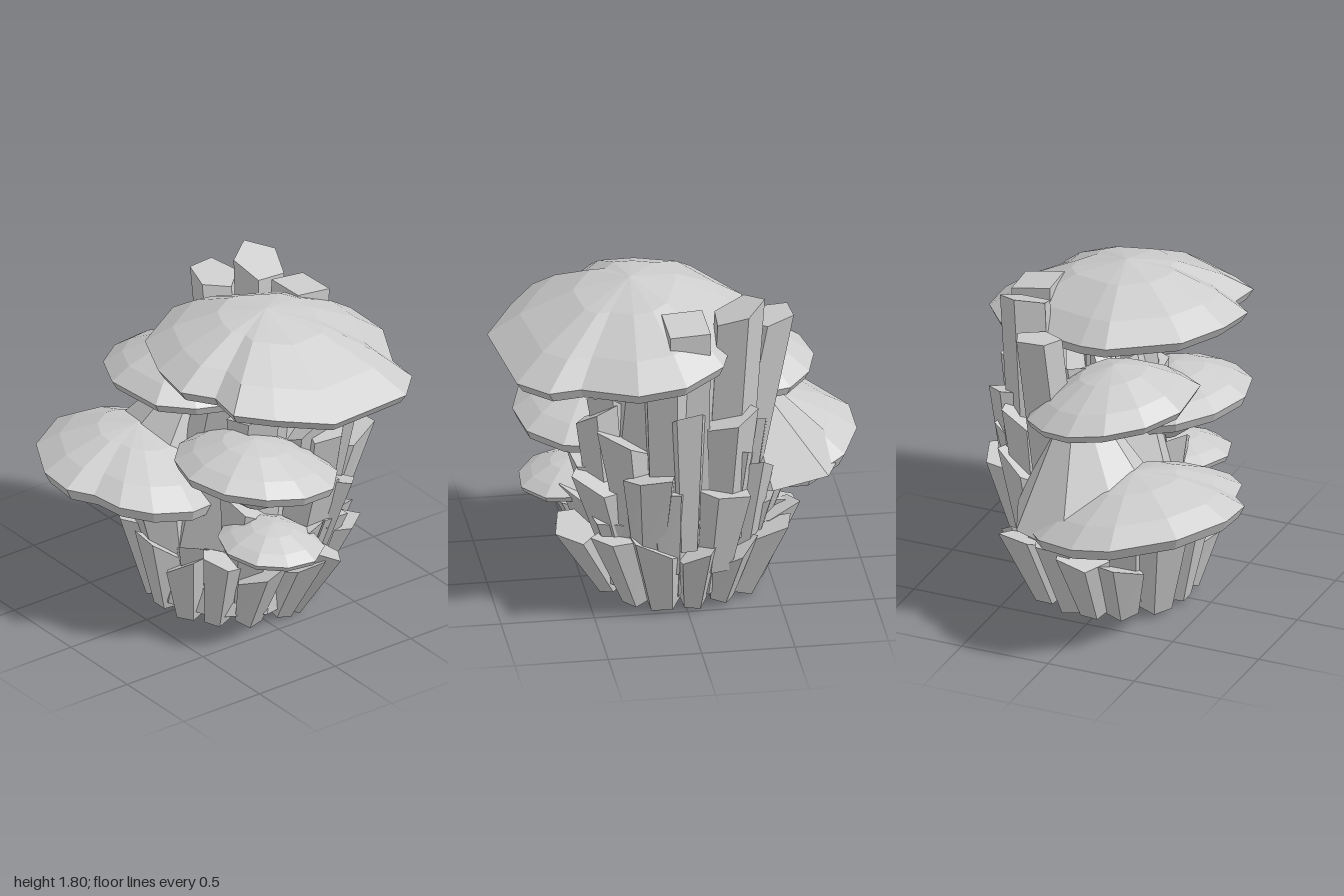
import * as THREE from 'three';

const material = new THREE.MeshStandardMaterial({ color: 0xcccccc, flatShading: true });

// Small seeded generator
let seed = 11;
const rnd = (a, b) => {
  seed = (seed * 16807) % 2147483647;
  return a + (b - a) * (seed / 2147483647);
};

function add(parent, name, geometry) {
  const mesh = new THREE.Mesh(geometry, material);
  mesh.name = name;
  parent.add(mesh);
  return mesh;
}

// Tapered prism from one point to another, cut off at a slant that is highest towards angle "high"
function shard(parent, name, from, to, rBottom, rTop, { sides = 5, slant = 0.14, high = rnd(0, 6.28), spin = rnd(0, 6.28) } = {}) {
  const a = new THREE.Vector3(...from), b = new THREE.Vector3(...to);
  const len = a.distanceTo(b);
  const g = new THREE.CylinderGeometry(rTop, rBottom, len, sides, 1);
  g.rotateY(spin);
  const p = g.attributes.position;
  for (let i = 0; i < p.count; i++) {
    if (p.getY(i) <= 0) continue;
    const d = (p.getX(i) * Math.cos(high) + p.getZ(i) * Math.sin(high)) / rTop;
    p.setY(i, len / 2 - slant * (0.5 - 0.5 * d));
  }
  const m = add(parent, name, g);
  m.position.copy(a).add(b).multiplyScalar(0.5);
  m.quaternion.setFromUnitVectors(new THREE.Vector3(0, 1, 0), b.sub(a).normalize());
}

// Oval rim, running from the front towards +x
function ovalRim(cx, cz, rx, rz, n) {
  return Array.from({ length: n }, (_, i) => {
    const t = (i / n) * Math.PI * 2;
    const w = 1 + 0.03 * Math.sin(3 * t + 1);
    return [cx + rx * w * Math.sin(t), cz + rz * w * Math.cos(t)];
  });
}

// Faceted shelf cap: rings shrink from an irregular rim towards the crown above and the root below.
// crown and root are [x, z]; y is the rim height at the crown.
function cap(parent, name, { rim, y, crown, root, top, bottom, tilt }) {
  const profile = [[0, -1], [0.14, -1], [0.5, -0.55], [0.95, -0.16], [1, 0.08], [0.77, 0.43], [0.4, 0.82], [0, 1]];
  const g = new THREE.LatheGeometry(profile.map(([r, h]) => new THREE.Vector2(r, h)), rim.length);
  const p = g.attributes.position;
  for (let i = 0; i < p.count; i++) {
    const [r, h] = profile[i % profile.length];
    const [ex, ez] = rim[Math.floor(i / profile.length) % rim.length];
    const [ox, oz] = h > 0 ? crown : root;
    const x = ox + (ex - ox) * r, z = oz + (ez - oz) * r;
    p.setXYZ(i, x, y + h * (h > 0 ? top : bottom) + r * ((ex - crown[0]) * tilt[0] + (ez - crown[1]) * tilt[1]), z);
  }
  add(parent, name, g);
}

export function createModel() {
  seed = 11;
  const model = new THREE.Group();

  // Hollow trunk core, leaning backwards as it rises
  const trunk = new THREE.Group();
  trunk.name = 'trunk';
  model.add(trunk);
  const core = new THREE.CylinderGeometry(0.32, 0.42, 1.3, 9, 2, true);
  const cp = core.attributes.position;
  for (let i = 0; i < cp.count; i++) {
    const h = cp.getY(i) + 0.65;
    cp.setXYZ(i, cp.getX(i) + 0.03, h + 0.06, cp.getZ(i) - 0.04 - 0.17 * h);
  }
  add(trunk, 'trunkCore', core);

  // Rings of splintered bark: foot and head radii, widened along x by "wide"
  const ring = (name, count, rFoot, yFoot, rHead, wide, yMin, yMax, zc, w, keep = () => true) => {
    for (let i = 0; i < count; i++) {
      const t = ((i + rnd(-0.25, 0.25)) / count) * Math.PI * 2;
      const c = Math.cos(t), s = Math.sin(t);
      const y = rnd(yMin, yMax), k = rnd(0.93, 1.06), width = w * rnd(0.85, 1.15);
      if (!keep(s)) continue;
      shard(trunk, name,
        [c * rFoot, yFoot, s * rFoot + zc],
        [c * rHead * k * wide + 0.01, y, s * rHead * k + zc - 0.03],
        width * 0.6, width, { slant: rnd(0.1, 0.26), high: t + rnd(-1.2, 1.2) });
    }
  };
  ring('baseSplinter', 15, 0.38, 0.02, 0.5, 1.15, 0.4, 0.52, -0.06, 0.14);
  ring('innerSplinter', 10, 0.34, 0.08, 0.43, 1.1, 0.5, 0.66, -0.07, 0.15);
  ring('middleSplinter', 10, 0.36, 0.25, 0.42, 1.12, 0.74, 0.92, -0.15, 0.15, s => s < 0.75);
  ring('upperSplinter', 9, 0.31, 0.4, 0.32, 1.2, 1.08, 1.3, -0.25, 0.14, s => s < 0.85);

  // Large single splinters
  const out = { high: -Math.PI / 2, slant: 0.2 };
  shard(trunk, 'backSplinter', [0.2, 0.4, -0.5], [0.22, 0.95, -0.67], 0.1, 0.15, out);
  shard(trunk, 'backSplinter', [-0.2, 0.4, -0.42], [-0.24, 1.0, -0.5], 0.1, 0.14, out);
  shard(trunk, 'backSplinter', [0.1, 0.5, -0.48], [0.12, 1.38, -0.55], 0.12, 0.14);
  shard(trunk, 'rightSplinter', [0.4, 0.5, -0.3], [0.47, 1.18, -0.34], 0.1, 0.12);
  shard(trunk, 'frontSplinter', [0.24, 0.6, 0.04], [0.28, 1.34, -0.04], 0.12, 0.11);

  // Tall spires standing up behind the caps
  shard(trunk, 'tallSpire', [-0.2, 0.4, -0.42], [-0.28, 1.79, -0.45], 0.13, 0.14, { slant: 0.13, high: Math.PI, spin: 0.9 });
  shard(trunk, 'leftSpire', [-0.28, 0.6, -0.27], [-0.48, 1.66, -0.3], 0.13, 0.13, { slant: 0.1, high: Math.PI, spin: 0.4 });
  shard(trunk, 'hiddenSpire', [0, 0.5, -0.46], [0.01, 1.71, -0.51], 0.14, 0.155, { sides: 4, slant: 0.04, high: 1.57, spin: 0.85 });

  // Shelf caps
  const caps = new THREE.Group();
  caps.name = 'caps';
  model.add(caps);
  cap(caps, 'topCap', {
    rim: [[0.13, 0.52], [0.37, 0.55], [0.5, 0.42], [0.69, 0.44], [0.83, 0.27], [1, 0], [0.92, -0.53], [0.77, -0.68],
      [0.6, -0.68], [0.31, -0.83], [0.05, -0.81], [-0.17, -0.65], [-0.36, -0.1], [-0.37, 0.05], [-0.15, 0.4]],
    y: 1.48, crown: [0.25, -0.1], root: [0.22, -0.25], top: 0.31, bottom: 0.21, tilt: [-0.08, 0.08] });
  cap(caps, 'upperLeftCap', {
    rim: [[-0.34, 0.475], [0, 0.44], [0.13, 0.27], [0.17, 0.05], [0.1, -0.2], [-0.1, -0.34], [-0.35, -0.36],
      [-0.58, -0.31], [-0.7, -0.17], [-0.75, 0], [-0.7, 0.19], [-0.56, 0.37]],
    y: 1.2, crown: [-0.26, 0.05], root: [-0.19, -0.08], top: 0.23, bottom: 0.18, tilt: [0, 0.12] });
  cap(caps, 'lowerLeftCap', {
    rim: [[-0.28, 0.82], [-0.17, 0.72], [0, 0.68], [0.13, 0.55], [0.19, 0.33], [0.12, 0.05], [-0.1, -0.15],
      [-0.4, -0.25], [-0.7, -0.27], [-0.9, -0.1], [-1, 0.13], [-0.99, 0.35], [-0.78, 0.65], [-0.49, 0.81]],
    y: 0.66, crown: [-0.42, 0.24], root: [-0.3, 0.14], top: 0.25, bottom: 0.29, tilt: [-0.04, 0.14] });
  cap(caps, 'rightCap', { rim: ovalRim(0.4, 0.085, 0.46, 0.425, 12),
    y: 0.95, crown: [0.42, 0.1], root: [0.39, 0.08], top: 0.19, bottom: 0.23, tilt: [0, 0.14] });
  cap(caps, 'smallRightCap', { rim: ovalRim(0.53, 0.08, 0.3, 0.275, 10),
    y: 0.55, crown: [0.54, 0.07], root: [0.48, 0.06], top: 0.12, bottom: 0.13, tilt: [-0.06, 0.06] });

  // Sloping neck joining the lower left cap to the trunk
  const neck = new THREE.CylinderGeometry(0.16, 0.45, 0.46, 8, 1);
  const np = neck.attributes.position;
  for (let i = 0; i < np.count; i++) {
    if (np.getY(i) > 0) np.setXYZ(i, np.getX(i) + 0.11, np.getY(i), np.getZ(i) - 0.12);
  }
  add(caps, 'capNeck', neck).position.set(-0.47, 0.85, 0.04);

  return model;
}
